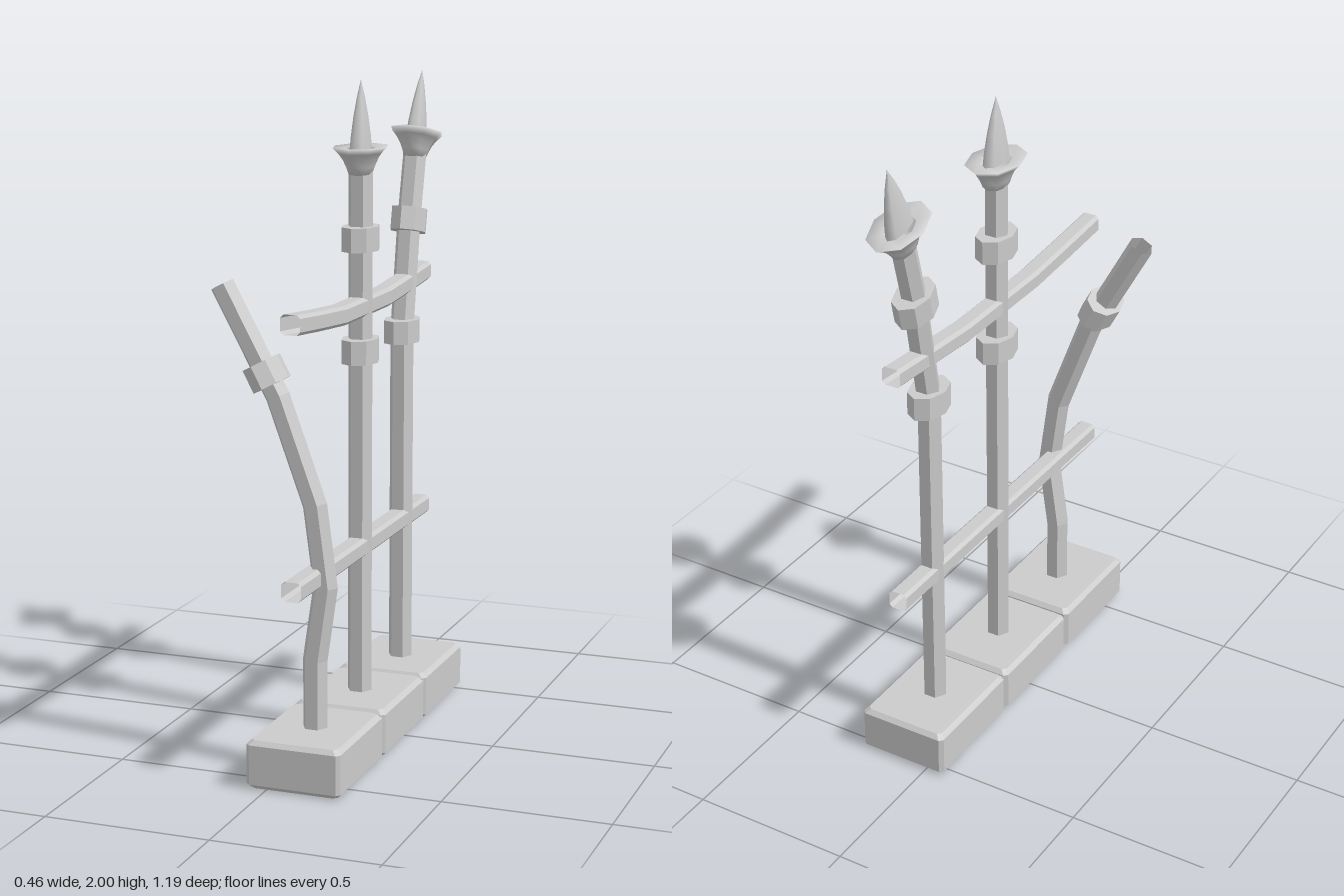
import * as THREE from 'three';

const X = 0.083; // common axis of the fence
const POSTS = [0.41, 0.033, -0.345];
const flat = new THREE.MeshStandardMaterial({ color: 0xcccccc, flatShading: true, side: THREE.DoubleSide });
const smooth = new THREE.MeshStandardMaterial({ color: 0xcccccc, side: THREE.DoubleSide });

function add(parent, name, geometry, material = flat) {
  const mesh = new THREE.Mesh(geometry, material);
  mesh.name = name;
  parent.add(mesh);
  return mesh;
}

// Skin a list of equal-length rings; optionally close the ends with fans
function loft(rings, capStart = false, capEnd = false) {
  const n = rings[0].length, pos = [], index = [];
  rings.forEach(r => r.forEach(p => pos.push(p.x, p.y, p.z)));
  for (let i = 0; i < rings.length - 1; i++) {
    for (let j = 0; j < n; j++) {
      const a = i * n + j, b = i * n + (j + 1) % n;
      index.push(a, b, a + n, b, b + n, a + n);
    }
  }
  const last = (rings.length - 1) * n;
  for (let j = 1; j < n - 1; j++) {
    if (capStart) index.push(0, j + 1, j);
    if (capEnd) index.push(last, last + j, last + j + 1);
  }
  const g = new THREE.BufferGeometry();
  g.setAttribute('position', new THREE.Float32BufferAttribute(pos, 3));
  g.setIndex(index);
  g.computeVertexNormals();
  return g;
}

// Rectangle with cut corners, counter-clockwise
function chamferedRect(w, h, c) {
  const a = w / 2, b = h / 2;
  return [[a, -b + c], [a, b - c], [a - c, b], [-a + c, b], [-a, b - c], [-a, -b + c], [-a + c, -b], [a - c, -b]];
}

// Stone block: bevelled, open underneath
function blockGeometry(w, h, d, bevel) {
  const levels = [[0, bevel], [bevel, 0], [h - bevel, 0], [h, bevel]];
  return loft(levels.map(([y, inset]) =>
    chamferedRect(w - 2 * inset, d - 2 * inset, 0.012)
      .map(([x, z]) => new THREE.Vector3(x, y, -z))), false, true);
}

// Six-sided post following [x, y, z] points, mitred at each bend
function postGeometry(points, radius, capEnd) {
  const path = points.map(p => new THREE.Vector3(...p));
  const up = new THREE.Vector3(0, 1, 0);
  const rings = path.map((p, i) => {
    const dir = path[Math.min(i + 1, path.length - 1)].clone().sub(path[Math.max(i - 1, 0)]).normalize();
    const q = new THREE.Quaternion().setFromUnitVectors(up, dir);
    return Array.from({ length: 6 }, (_, k) => {
      const t = k * Math.PI / 3;
      return new THREE.Vector3(Math.cos(t) * radius, 0, -Math.sin(t) * radius).applyQuaternion(q).add(p);
    });
  });
  return loft(rings, true, capEnd);
}

// Hollow square rail running along z through [z, y] points
function railGeometry(points) {
  const section = chamferedRect(0.06, 0.058, 0.01);
  return loft(points.map(([z, y]) => section.map(([dx, dy]) => new THREE.Vector3(X + dx, y + dy, z))));
}

// Eight-sided turned piece, flattened across x
function turned(profile) {
  const g = new THREE.LatheGeometry(profile.map(p => new THREE.Vector2(...p)), 8);
  g.scale(0.69, 1, 1);
  return g;
}

const collarGeometry = turned([[0.03, -0.036], [0.08, -0.036], [0.08, 0.036], [0.03, 0.036]]);

// Flared cup and pointed blade, measured from the cup's foot
function finial(parent, x, y, z, tilt) {
  const g = new THREE.Group();
  g.name = 'finial';
  add(g, 'finialCup', turned([[0.03, 0], [0.05, 0.004], [0.06, 0.025], [0.075, 0.048],
    [0.092, 0.066], [0.117, 0.085], [0.06, 0.08]]), smooth);
  const blade = turned([[0.062, 0.078], [0.056, 0.115], [0.041, 0.175], [0.022, 0.23], [0, 0.28]]);
  blade.scale(0.62, 1, 1);
  add(g, 'finialBlade', blade, smooth);
  g.position.set(x, y, z);
  g.rotation.x = tilt;
  parent.add(g);
}

export function createModel() {
  const model = new THREE.Group();
  model.name = 'brokenFence';

  // Stone footing
  const block = blockGeometry(0.29, 0.145, 0.375, 0.013);
  [0.411, 0.0285, -0.351].forEach(z => add(model, 'baseBlock', block).position.set(X, 0, z));

  // Posts: one bent sideways, one straight, one leaning back
  const [zBent, zMid, zLean] = POSTS;
  const r = 0.038, foot = 0.132;
  add(model, 'bentPost', postGeometry([[X, foot, zBent], [X, 0.35, zBent], [0.115, 0.57, zBent],
    [X, 0.81, zBent], [-0.03, 1.12, zBent], [-0.2, 1.435, zBent]], r, false));
  add(model, 'straightPost', postGeometry([[X, foot, zMid], [X, 1.75, zMid]], r, true));
  add(model, 'leaningPost', postGeometry([[X, foot, zLean], [X, 1.2, zLean],
    [X, 1.535, -0.405], [X, 1.75, -0.461]], r, true));

  // Collars: x, y, z, tilt about x, tilt about z
  [
    [-0.064, 1.185, zBent, 0, 0.49],
    [X, 1.2, zMid, 0, 0],
    [X, 1.535, zMid, 0, 0],
    [X, 1.2, zLean, 0, 0],
    [X, 1.538, -0.406, -0.23, 0],
  ].forEach(([x, y, z, rx, rz]) => {
    const collar = add(model, 'collar', collarGeometry);
    collar.position.set(x, y, z);
    collar.rotation.set(rx, 0, rz);
  });

  // Pointed tops
  finial(model, X, 1.72, zMid, 0);
  finial(model, X, 1.725, -0.455, -0.26);

  // Cross rails, the upper one sagging
  add(model, 'lowerRail', railGeometry([[0.598, 0.6], [-0.537, 0.6]]));
  add(model, 'upperRail', railGeometry([[0.598, 1.363], [0.41, 1.347], [0.22, 1.333],
    [-0.16, 1.333], [-0.35, 1.347], [-0.537, 1.363]]));

  return model;
}
